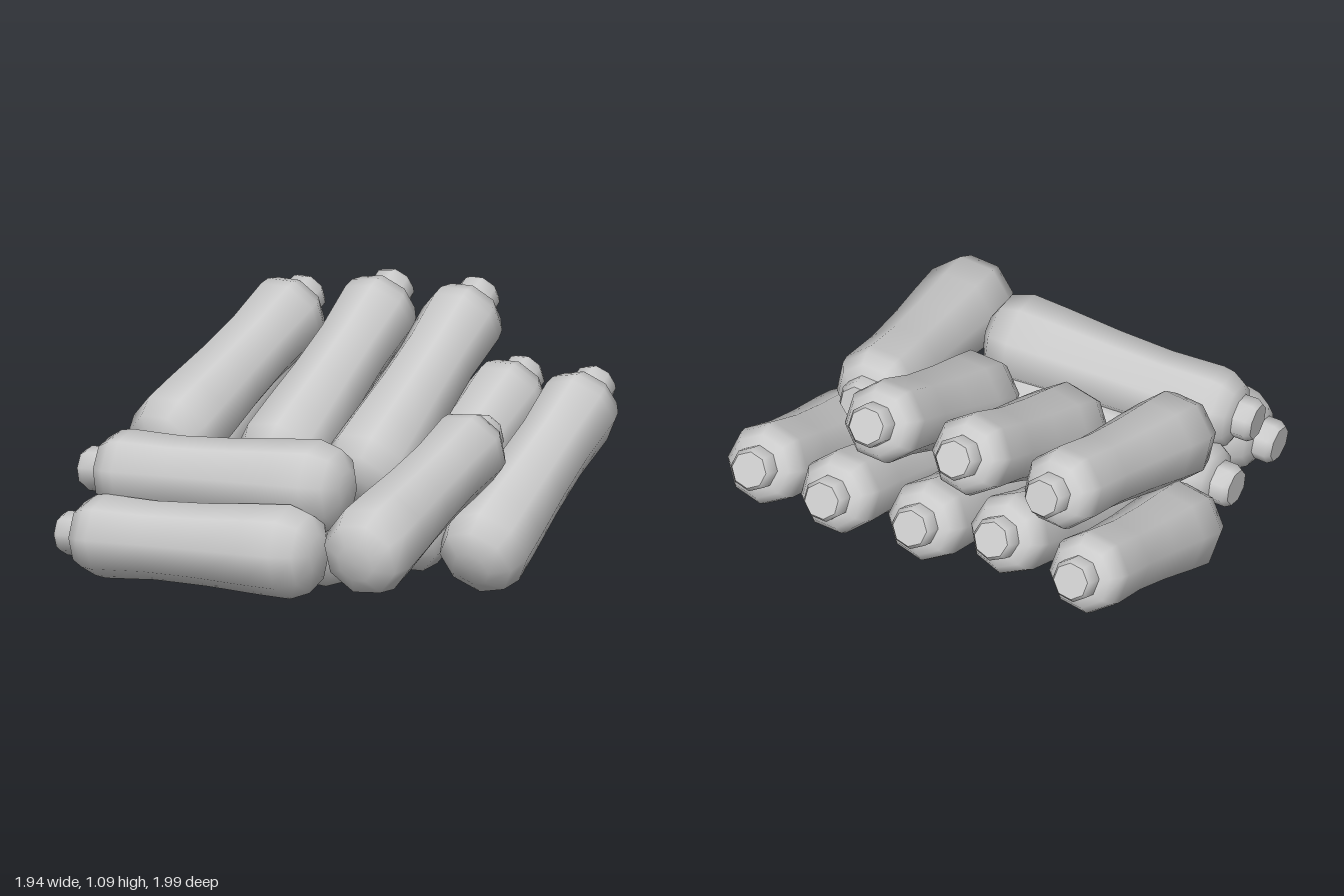
import * as THREE from 'three';
import { toCreasedNormals } from 'three/addons/utils/BufferGeometryUtils.js';

const LENGTH = 1.25;
const SIDES = 8;

// Turned profile, listed as [radius, height] from the base upwards
function turned(profile) {
  const points = profile.map(([r, y]) => new THREE.Vector2(r, y));
  return toCreasedNormals(new THREE.LatheGeometry(points, SIDES), 0.95);
}

export function createModel() {
  const pile = new THREE.Group();
  pile.name = 'bottlePile';
  const material = new THREE.MeshStandardMaterial({ color: 0xcccccc });

  // Waisted body with a rounded base and sloping shoulder
  const bodyGeometry = turned([
    [0, 0], [0.085, 0], [0.17, 0.045], [0.203, 0.14], [0.195, 0.3],
    [0.178, 0.55], [0.17, 0.8], [0.181, 1.04], [0.173, 1.09], [0.14, 1.145], [0.085, 1.17], [0, 1.17],
  ]);
  // Short stopper
  const capGeometry = turned([
    [0, 1.14], [0.096, 1.14], [0.096, 1.225], [0.08, LENGTH], [0, LENGTH],
  ]);

  // A bottle lying from the centre of its base to the centre of its cap
  function addBottle(name, base, tip, roll) {
    const from = new THREE.Vector3(...base);
    const axis = new THREE.Vector3(...tip).sub(from);
    const body = new THREE.Mesh(bodyGeometry, material);
    body.name = 'body';
    const cap = new THREE.Mesh(capGeometry, material);
    cap.name = 'cap';
    const bottle = new THREE.Group();
    bottle.name = name;
    bottle.add(body, cap);
    bottle.position.copy(from);
    bottle.scale.y = axis.length() / LENGTH;
    bottle.quaternion
      .setFromUnitVectors(new THREE.Vector3(0, 1, 0), axis.normalize())
      .multiply(new THREE.Quaternion().setFromAxisAngle(new THREE.Vector3(0, 1, 0), roll));
    pile.add(bottle);
  }

  const bottles = {
    // Row leaning back at the bottom
    lowerBottle: [
      [[-0.77, 0.19, 0.19], [-0.775, 0.65, -0.945], 0.2],
      [[-0.39, 0.155, 0.23], [-0.36, 0.68, -0.88], 0],
      [[0, 0.185, 0.18], [-0.005, 0.66, -0.945], 0.1],
      [[0.4, 0.2, 0.18], [0.41, 0.67, -0.96], 0.3],
      [[0.77, 0.16, 0.19], [0.77, 0.69, -0.935], 0.1],
    ],
    // Three resting on that row
    upperBottle: [
      [[-0.65, 0.51, 0.375], [-0.56, 0.92, -0.8], 0.25],
      [[-0.18, 0.44, 0.27], [-0.155, 1.01, -0.835], 0.15],
      [[0.25, 0.455, 0.27], [0.26, 1.04, -0.835], 0.3],
    ],
    // Stack lying crosswise at the front
    crosswiseBottle: [
      [[0.37, 0.29, 0.455], [-0.87, 0.25, 0.41], 0.2],
      [[0.375, 0.56, 0.555], [-0.875, 0.475, 0.6], 0.3],
      [[0.365, 0.335, 0.79], [-0.885, 0.235, 0.78], 0.15],
    ],
    // Single one pointing forwards
    frontBottle: [
      [[0.645, 0.39, 0.985], [0.605, 0.63, -0.25], 0.3],
    ],
  };
  for (const [name, list] of Object.entries(bottles)) {
    list.forEach(([base, tip, roll], i) => addBottle(`${name}${i + 1}`, base, tip, roll));
  }

  // Rest the pile on the ground, centred
  const box = new THREE.Box3().setFromObject(pile, true);
  const centre = box.getCenter(new THREE.Vector3());
  pile.children.forEach((b) => b.position.sub(new THREE.Vector3(centre.x, box.min.y, centre.z)));
  return pile;
}
